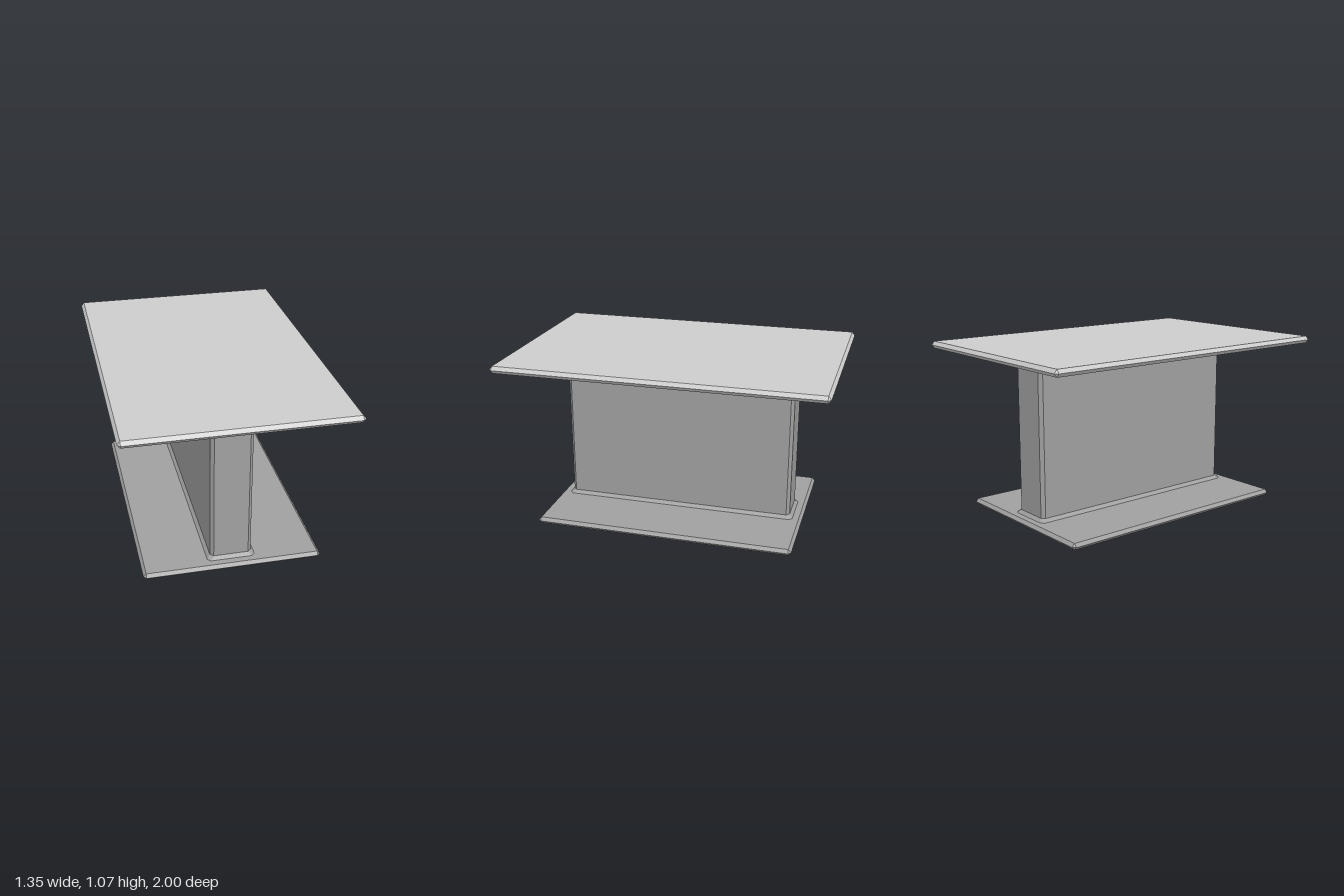
import * as THREE from 'three';

// Rectangle with cut corners, counter-clockwise seen from above
function ring([y, x, z, cut]) {
  const a = x - cut, b = z - cut;
  return [[x, b], [x, -b], [a, -z], [-a, -z], [-x, -b], [-x, b], [-a, z], [a, z]]
    .map(([px, pz]) => new THREE.Vector3(px, y, pz));
}

// Closed solid through rings given as [height, half width, half depth, corner cut]
function loft(name, material, sections) {
  const rings = sections.map(ring), pos = [];
  const tri = (a, b, c) => {
    if (a.equals(b) || b.equals(c) || a.equals(c)) return;
    for (const p of [a, b, c]) pos.push(p.x, p.y, p.z);
  };
  for (let k = 0; k < rings.length - 1; k++) {
    const lo = rings[k], hi = rings[k + 1];
    for (let i = 0; i < 8; i++) {
      const j = (i + 1) % 8;
      tri(lo[i], lo[j], hi[j]);
      tri(lo[i], hi[j], hi[i]);
    }
  }
  const bottom = rings[0], top = rings[rings.length - 1];
  for (let i = 1; i < 7; i++) {
    tri(bottom[0], bottom[i + 1], bottom[i]);
    tri(top[0], top[i], top[i + 1]);
  }
  const geometry = new THREE.BufferGeometry();
  geometry.setAttribute('position', new THREE.Float32BufferAttribute(pos, 3));
  geometry.computeVertexNormals();
  const mesh = new THREE.Mesh(geometry, material);
  mesh.name = name;
  return mesh;
}

export function createModel() {
  const lightGrey = new THREE.MeshStandardMaterial({ color: 0xcccccc });
  lightGrey.name = 'light grey';
  const midGrey = new THREE.MeshStandardMaterial({ color: 0xa0a0a0 });
  midGrey.name = 'mid grey';

  const group = new THREE.Group();
  group.name = 'pedestalTable';
  group.add(
    // Slabs with pointed edges
    loft('basePlate', midGrey, [
      [0, 0.525, 0.79, 0], [0.02, 0.543, 0.808, 0.018], [0.04, 0.525, 0.79, 0],
    ]),
    loft('tableTop', lightGrey, [
      [1.023, 0.657, 0.982, 0], [1.045, 0.675, 1, 0.018], [1.067, 0.657, 0.982, 0],
    ]),
    // Chamfered pillar flaring where it meets the slabs
    loft('pedestal', midGrey, [
      [0.04, 0.146, 0.75, 0.02], [0.06, 0.126, 0.73, 0.02],
      [1.002, 0.126, 0.73, 0.02], [1.023, 0.146, 0.75, 0.02],
    ]),
  );
  return group;
}
